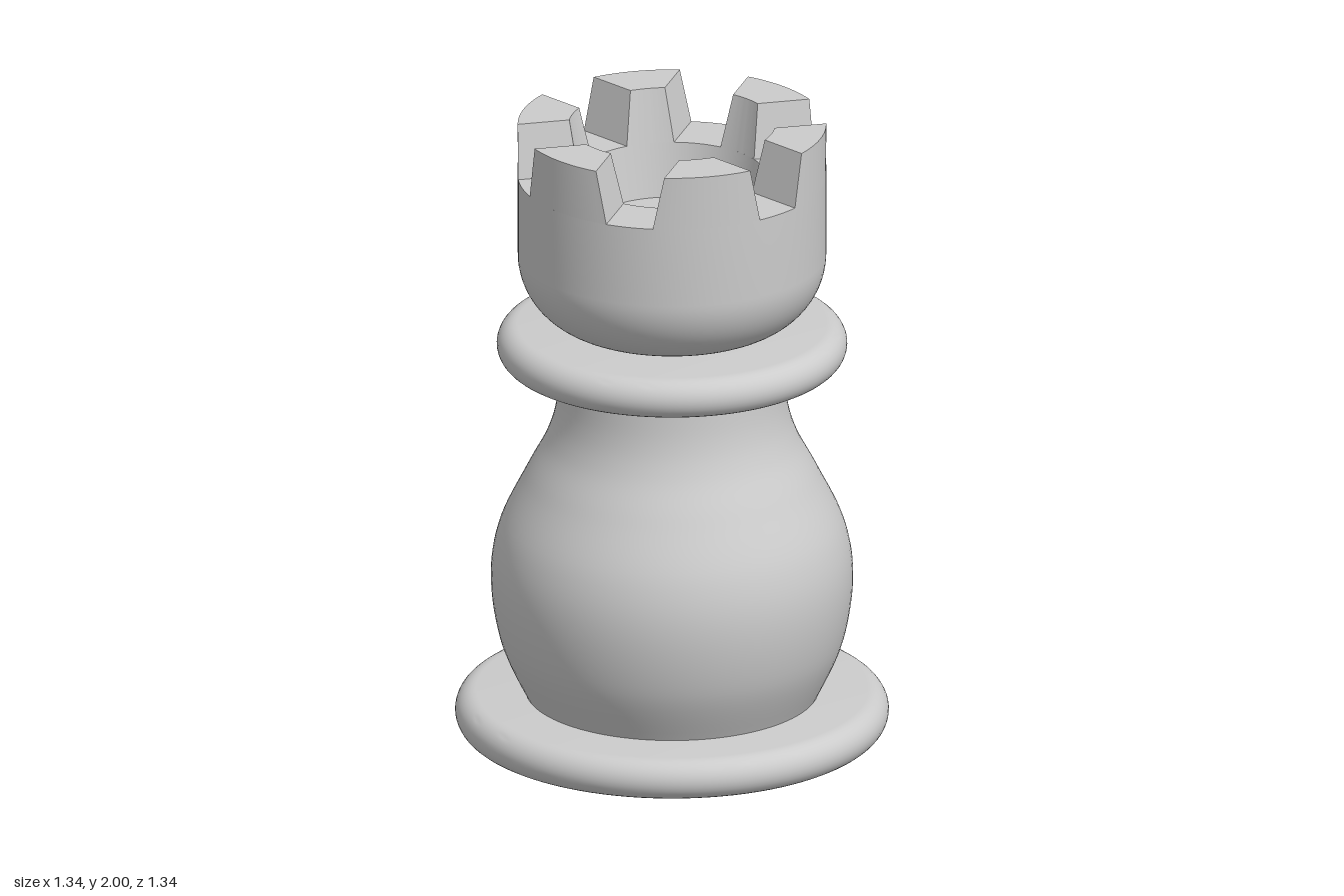
import * as THREE from 'three';
import { toCreasedNormals } from 'three/addons/utils/BufferGeometryUtils.js';

const SEGMENTS = 96;
const material = new THREE.MeshStandardMaterial({ color: 0xcccccc });
const v = (x, y) => new THREE.Vector2(x, y);

function addMesh(parent, name, geometry) {
  const mesh = new THREE.Mesh(toCreasedNormals(geometry, 0.5), material);
  mesh.name = name;
  parent.add(mesh);
  return mesh;
}

const lathe = (points) => new THREE.LatheGeometry(points, SEGMENTS);

// Points on a circular arc of the profile
function arc(cx, cy, r, from, to, steps) {
  return Array.from({ length: steps + 1 }, (_, i) => {
    const a = from + ((to - from) * i) / steps;
    return v(cx + r * Math.cos(a), cy + r * Math.sin(a));
  });
}

// Flat disc with a half-round edge
function roundedDisc(radius, y0, y1) {
  const r = (y1 - y0) / 2;
  return lathe([v(0, y0), ...arc(radius - r, y0 + r, r, -Math.PI / 2, Math.PI / 2, 16), v(0, y1)]);
}

// Head sizes
const OUTER = 0.478, NOTCH_Y = 1.83, TOP_Y = 2;
const NOTCH_LOW = 0.075, NOTCH_HIGH = 0.11;

// One merlon: a ring sector whose ends follow the slanted notch walls
function merlonGeometry() {
  const section = [
    [OUTER, NOTCH_Y, NOTCH_LOW], [OUTER, TOP_Y, NOTCH_HIGH],
    [0.32, TOP_Y, NOTCH_HIGH], [0.29, NOTCH_Y, NOTCH_LOW],
  ];
  const steps = 16, n = section.length, positions = [], index = [];
  for (let j = 0; j <= steps; j++) {
    for (const [r, y, w] of section) {
      const a = ((2 * j) / steps - 1) * (Math.PI / 6 - Math.asin(w / r));
      positions.push(r * Math.sin(a), y, r * Math.cos(a));
    }
  }
  for (let j = 0; j < steps; j++) {
    for (let i = 0; i < n - 1; i++) {
      const a = j * n + i, b = a + n;
      index.push(a, b, a + 1, b, b + 1, a + 1);
    }
  }
  const e = steps * n;
  index.push(0, 1, 2, 0, 2, 3, e, e + 2, e + 1, e, e + 3, e + 2);
  const geometry = new THREE.BufferGeometry();
  geometry.setAttribute('position', new THREE.Float32BufferAttribute(positions, 3));
  geometry.setIndex(index);
  return geometry;
}

export function createModel() {
  const model = new THREE.Group();
  model.name = 'chessRook';

  addMesh(model, 'base', roundedDisc(0.672, 0, 0.13));

  // Bulging body narrowing to the neck
  const bodyCurve = new THREE.SplineCurve([
    v(0.45, 0.12), v(0.53, 0.3), v(0.561, 0.5), v(0.537, 0.67),
    v(0.455, 0.845), v(0.39, 0.97), v(0.358, 1.08), v(0.345, 1.23),
  ]);
  addMesh(model, 'body', lathe(bodyCurve.getPoints(48)));

  addMesh(model, 'collar', roundedDisc(0.543, 1.213, 1.34));

  // Cup-shaped head with a tapered well, up to the notch floors
  const head = new THREE.Group();
  head.name = 'head';
  model.add(head);
  addMesh(head, 'cup', lathe([
    v(0, 1.337),
    ...arc(0.24, 1.575, 0.238, -Math.PI / 2, 0, 20),
    v(OUTER, NOTCH_Y), v(0.29, NOTCH_Y), v(0.26, 1.66), v(0, 1.66),
  ]));

  // Six merlons, leaving a notch at the front and back
  for (let k = 0; k < 6; k++) {
    addMesh(head, 'merlon', merlonGeometry()).rotation.y = Math.PI / 6 + (k * Math.PI) / 3;
  }
  return model;
}
